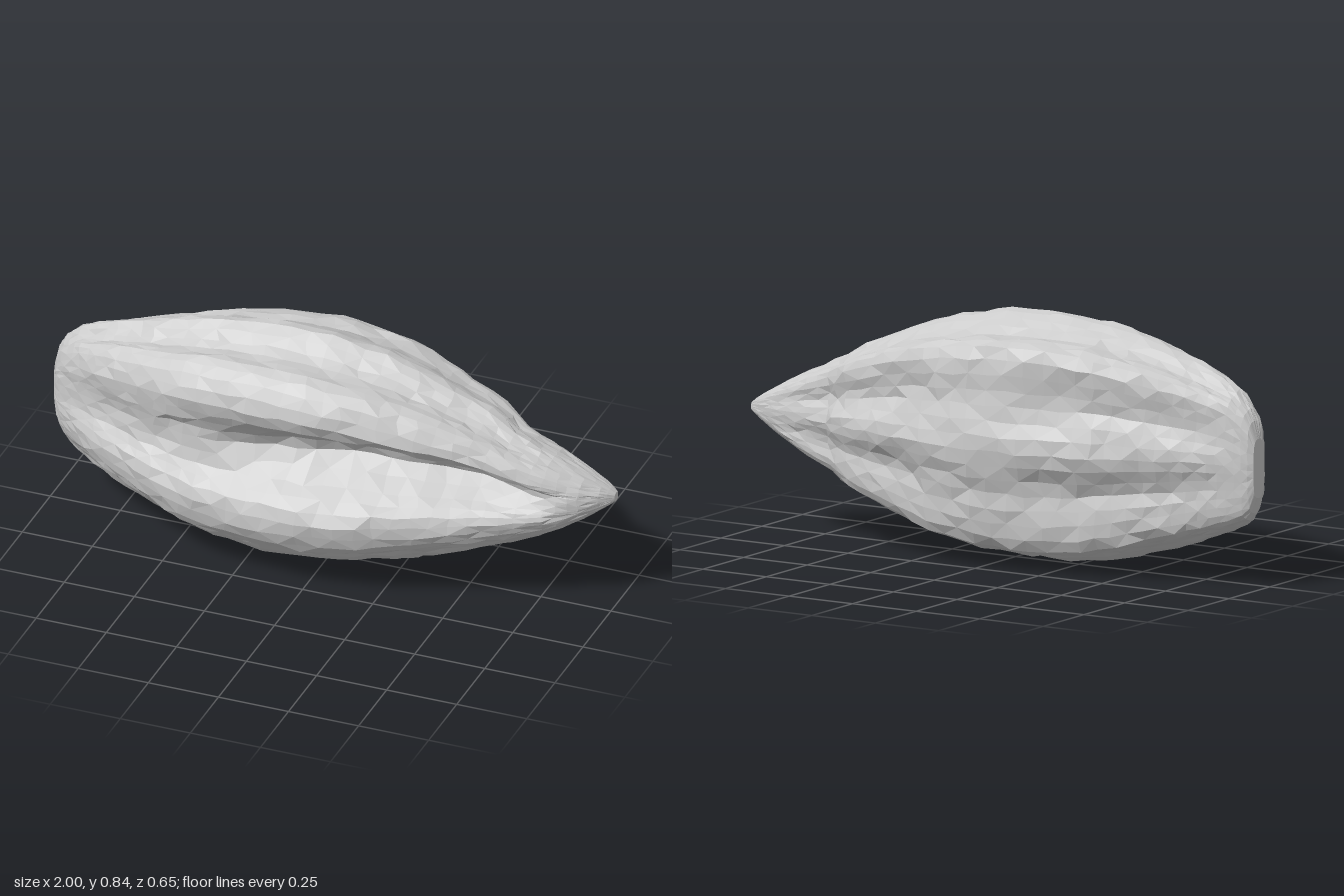
import * as THREE from 'three';

// Lobed cross-section at the widest place, as [z, y], from the top ridge round by the front
const SECTION = [
  [0, 0.84], [0.09, 0.775], [0.2, 0.775], [0.26, 0.73], [0.29, 0.64], [0.255, 0.56], [0.215, 0.49],
  [0.24, 0.39], [0.315, 0.31], [0.32, 0.24], [0.28, 0.155], [0.17, 0.09], [0.09, 0.015], [0.03, 0],
  [-0.04, 0.02], [-0.13, 0.055], [-0.22, 0.055], [-0.26, 0.085], [-0.28, 0.17], [-0.29, 0.27],
  [-0.322, 0.41], [-0.292, 0.56], [-0.285, 0.66], [-0.275, 0.74], [-0.22, 0.77], [-0.15, 0.775], [-0.07, 0.82],
];

// Outline along the length: [x, bottom, top, back, front]
const STATIONS = [
  [-1, 0.31, 0.51, -0.1, -0.03], [-0.975, 0.235, 0.59, -0.115, 0.01], [-0.9, 0.19, 0.665, -0.13, 0.07],
  [-0.8, 0.15, 0.71, -0.15, 0.13], [-0.6, 0.08, 0.775, -0.2, 0.22], [-0.4, 0.025, 0.825, -0.26, 0.285],
  [-0.2, 0, 0.845, -0.3, 0.31], [0, 0.015, 0.84, -0.325, 0.32], [0.2, 0.05, 0.805, -0.305, 0.29],
  [0.4, 0.11, 0.74, -0.25, 0.24], [0.58, 0.175, 0.66, -0.2, 0.18], [0.66, 0.21, 0.615, -0.14, 0.16],
  [0.8, 0.275, 0.55, -0.12, 0.12], [0.9, 0.335, 0.495, -0.1, 0.07], [0.97, 0.38, 0.455, -0.08, 0.01],
  [1, 0.4, 0.43, -0.065, -0.03],
];

const AROUND = 56;
const ALONG = 42;

function seeded(seed) {
  return () => {
    seed = (seed * 16807) % 2147483647;
    return seed / 2147483647 - 0.5;
  };
}

// Linear lookup of the outline at x
function outlineAt(x) {
  let i = 0;
  while (i < STATIONS.length - 2 && STATIONS[i + 1][0] < x) i++;
  const a = STATIONS[i], b = STATIONS[i + 1];
  const t = (x - a[0]) / (b[0] - a[0]);
  return a.map((v, k) => v + (b[k] - v) * t);
}

// Bell curve for a groove centred at height c
const bell = (y, c, w) => Math.exp(-(((y - c) / w) ** 2));

function podGeometry() {
  const rand = seeded(71);
  const smooth = THREE.MathUtils.smoothstep;
  const curve = new THREE.CatmullRomCurve3(
    SECTION.map(([z, y]) => new THREE.Vector3(0, (y - 0.42) / 0.42, z / 0.32)), true, 'centripetal');
  const ring = curve.getSpacedPoints(AROUND).slice(0, AROUND);
  const positions = [];
  const index = [];

  for (let i = 0; i <= ALONG; i++) {
    // Rings gather towards both ends
    const u = i / ALONG;
    const x = THREE.MathUtils.lerp(-Math.cos(u * Math.PI), u * 2 - 1, 0.35);
    const [, bottom, top, back, front] = outlineAt(x);
    const cy = (top + bottom) / 2, hy = (top - bottom) / 2;
    const cz = (front + back) / 2, hz = (front - back) / 2;
    // Lobes fade to an oval at the ends
    const oval = Math.max(1 - smooth(x, -1.05, -0.8), smooth(x, 0.55, 0.95));
    // The front furrow is shallow towards the blunt end and deep towards the tip
    const fill = 0.1 * hz * (1 - smooth(x, -0.6, -0.2)) * (1 - oval);
    const furrow = 0.1 * smooth(x, -0.4, 0.15) * (1 - smooth(x, 0.5, 0.9)) - fill;
    // Two shallow grooves flank the middle ridge of the back
    const flute = 0.09 * hz * smooth(Math.abs(x), 0.05, 0.35) * (1 - smooth(Math.abs(x), 0.7, 0.95));
    const rough = i === 0 || i === ALONG ? 0 : 0.011 * Math.min(1, hz * 4);

    for (const p of ring) {
      // The oval is squarer at the back
      const n = p.z < 0 ? 3.5 : 2.2;
      const r = (Math.abs(p.y) ** n + Math.abs(p.z) ** n) ** (1 / n);
      const y = THREE.MathUtils.lerp(p.y, p.y / r, oval);
      let z = cz + hz * THREE.MathUtils.lerp(p.z, p.z / r, oval);
      if (p.z > 0) z -= furrow * bell(p.y, 0.17, 0.21);
      else if (p.z < -0.6) z += flute * (bell(p.y, 0.36, 0.17) + bell(p.y, -0.36, 0.17));
      positions.push(x + rand() * rough * 2, Math.max(0, cy + hy * y + rand() * rough * 0.8), z + rand() * rough);
    }
  }

  // Skin between neighbouring rings, with alternating diagonals
  for (let i = 0; i < ALONG; i++) {
    for (let j = 0; j < AROUND; j++) {
      const k = (j + 1) % AROUND;
      const a = i * AROUND + j, b = i * AROUND + k;
      const c = a + AROUND, d = b + AROUND;
      if ((i + j) % 2) index.push(a, b, c, b, d, c);
      else index.push(a, b, d, a, d, c);
    }
  }

  // Close both ends
  for (const [row, x] of [[0, -1], [ALONG, 1]]) {
    const [, bottom, top, back, front] = outlineAt(x);
    const centre = positions.length / 3;
    positions.push(x, (top + bottom) / 2, (front + back) / 2);
    for (let j = 0; j < AROUND; j++) {
      const a = row * AROUND + j, b = row * AROUND + ((j + 1) % AROUND);
      if (row) index.push(centre, a, b);
      else index.push(centre, b, a);
    }
  }

  const geometry = new THREE.BufferGeometry();
  geometry.setAttribute('position', new THREE.Float32BufferAttribute(positions, 3));
  geometry.setIndex(index);
  geometry.computeVertexNormals();
  return geometry;
}

export function createModel() {
  const group = new THREE.Group();
  group.name = 'ridgedPod';
  const material = new THREE.MeshStandardMaterial({ color: 0xcccccc, flatShading: true });
  const body = new THREE.Mesh(podGeometry(), material);
  body.name = 'podBody';
  group.add(body);
  return group;
}
